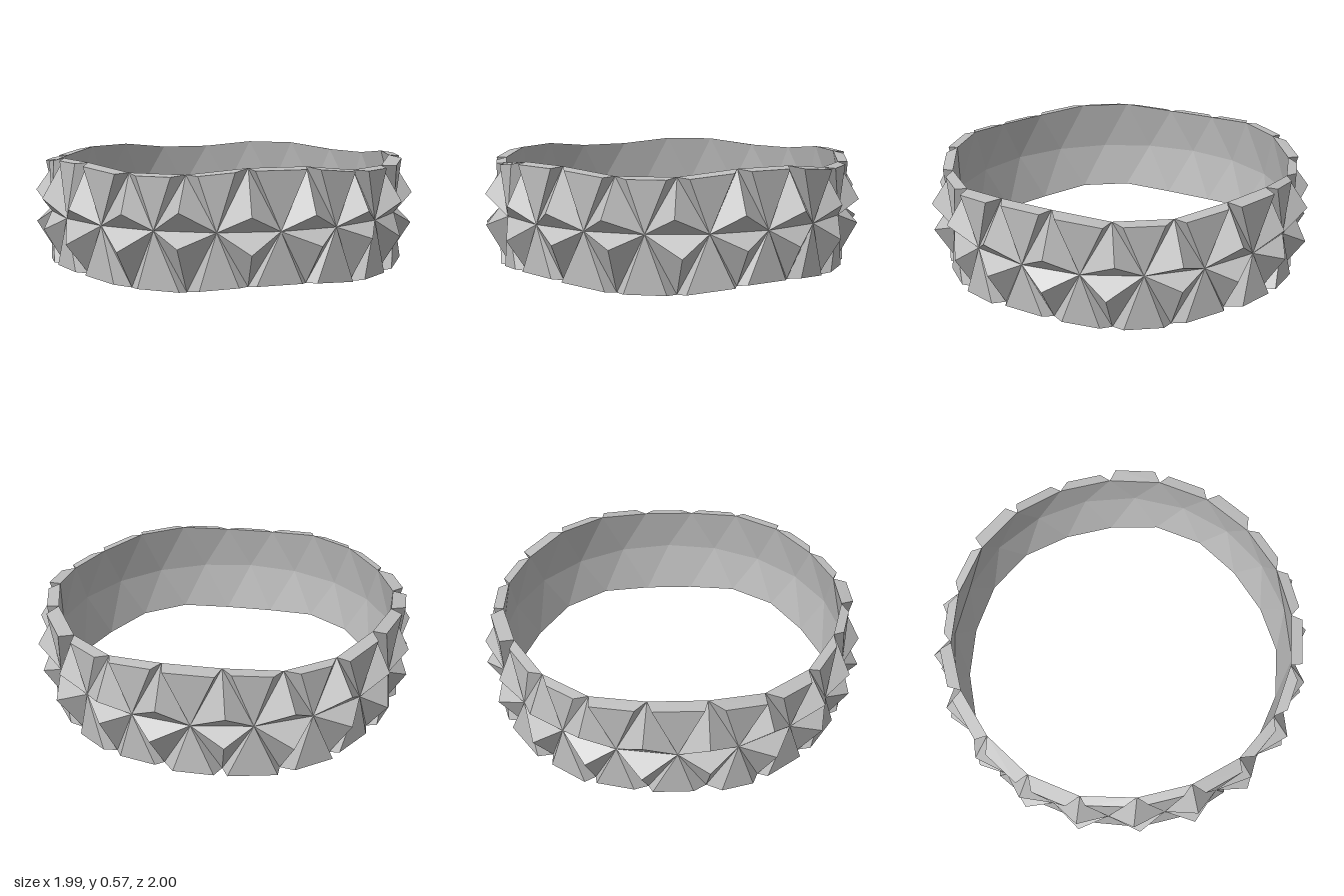
import * as THREE from 'three';
import { ConvexGeometry } from 'three/addons/geometries/ConvexGeometry.js';
import { mergeGeometries } from 'three/addons/utils/BufferGeometryUtils.js';

const COUNT = 20;           // facets around each row
const STEP = Math.PI * 2 / COUNT;
const SPHERE = 0.925;       // the inner wall follows this sphere
const MID = 0.283;          // height of the waist line

export function createModel() {
  const silver = new THREE.MeshStandardMaterial({ color: 0xbebebe });
  silver.name = 'silver';

  let seed = 7;
  const vary = (lo, hi) => {
    seed = (seed * 16807) % 2147483647;
    return lo + (hi - lo) * seed / 2147483647;
  };

  // angle is measured from the front (+z) towards +x
  const at = (angle, r, y) => new THREE.Vector3(r * Math.sin(angle), MID + y, r * Math.cos(angle));
  const waistPoint = (i) => at(i * STEP, SPHERE, 0);

  // rim points step up and down in pairs, like the edges of a geodesic belt
  const rimPoint = (i, side) => {
    const pairHigh = ((i % 4) + 4) % 4 >= 2;
    const h = pairHigh === (side > 0) ? 0.283 : 0.253;
    return at((i + 0.5) * STEP, Math.sqrt(SPHERE * SPHERE - h * h), side * h);
  };

  // three-sided stud standing on the waist line
  const stud = (i, side) => {
    const apex = at((i + 0.5 + vary(-0.08, 0.08)) * STEP, vary(0.985, 1.01), side * vary(0.06, 0.1));
    return new ConvexGeometry([waistPoint(i), waistPoint(i + 1), rimPoint(i, side), apex]);
  };

  // wedge that rises from a waist point to a raised edge along the rim
  const wedge = (i, side) => {
    const a = rimPoint(i - 1, side), b = rimPoint(i, side);
    const lift = vary(0.045, 0.075);
    const raised = (t) => {
      const p = a.clone().lerp(b, t);
      const r = Math.hypot(p.x, p.z);
      p.x *= (r + lift) / r;
      p.z *= (r + lift) / r;
      p.y -= side * 0.008;
      return p;
    };
    return new ConvexGeometry([waistPoint(i), a, b, raised(vary(0.08, 0.24)), raised(vary(0.76, 0.92))]);
  };

  const group = new THREE.Group();
  group.name = 'facetedBand';
  for (const [side, row] of [[1, 'upper'], [-1, 'lower']]) {
    for (const [build, part] of [[stud, 'Studs'], [wedge, 'Wedges']]) {
      const pieces = Array.from({ length: COUNT }, (_, i) => build(i, side));
      const mesh = new THREE.Mesh(mergeGeometries(pieces), silver);
      mesh.name = row + part;
      group.add(mesh);
    }
  }
  return group;
}
